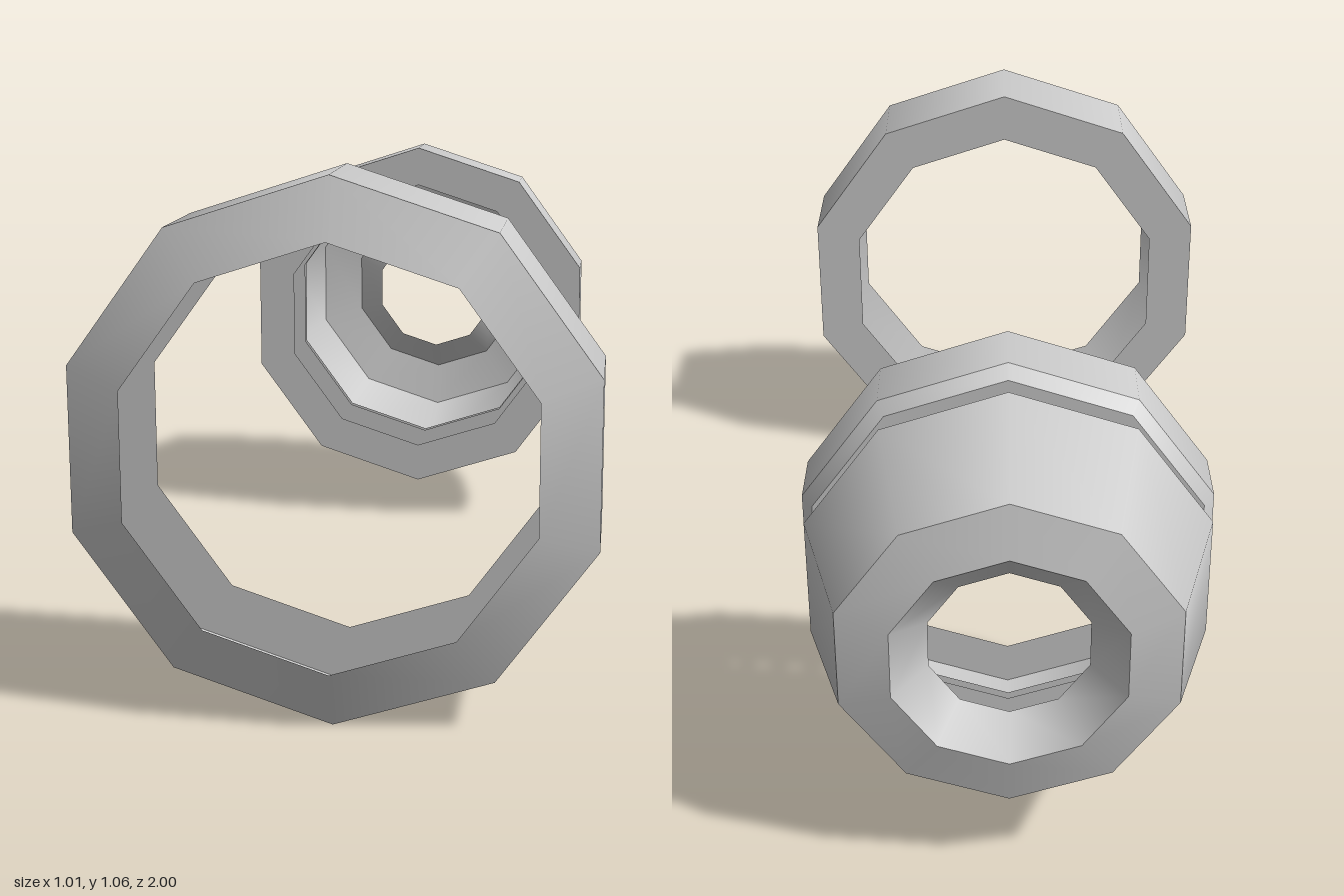
import * as THREE from 'three';
import { mergeGeometries } from 'three/addons/utils/BufferGeometryUtils.js';

const SIDES = 10;
const material = new THREE.MeshStandardMaterial({ color: 0xcccccc, side: THREE.DoubleSide });

// Thin ten-sided shell around the z axis from [radius, z] points:
// smooth around the axis, with a sharp edge at every profile point.
function shell(name, centreY, profile) {
  const bands = [];
  for (let i = 0; i < profile.length - 1; i++) {
    const pair = [profile[i], profile[i + 1]].map(([r, z]) => new THREE.Vector2(r, z));
    bands.push(new THREE.LatheGeometry(pair, SIDES));
  }
  const geometry = mergeGeometries(bands);
  geometry.rotateX(Math.PI / 2); // lathe axis y becomes z, a corner stays on top
  const mesh = new THREE.Mesh(geometry, material);
  mesh.name = name;
  mesh.position.y = centreY;
  return mesh;
}

export function createModel() {
  const group = new THREE.Group();
  group.name = 'ringAssembly';

  // Large front ring: flat back flange, straight wall, tapered front lip
  group.add(shell('frontRing', 0.533, [
    [0.414, 0.735], [0.532, 0.735], [0.532, 0.955], [0.414, 1],
  ]));

  // Middle ring: bevelled towards the back, flat front flange
  group.add(shell('middleRing', 0.544, [
    [0.35, -0.637], [0.422, -0.637], [0.446, -0.607], [0.446, -0.47], [0.35, -0.47],
  ]));

  // Rear cup: inward funnel, rear face, tapered body, front bevel and flange
  group.add(shell('rearCup', 0.544, [
    [0.166, -0.93], [0.241, -1], [0.35, -0.977], [0.433, -0.705], [0.401, -0.657], [0.35, -0.657],
  ]));

  return group;
}
